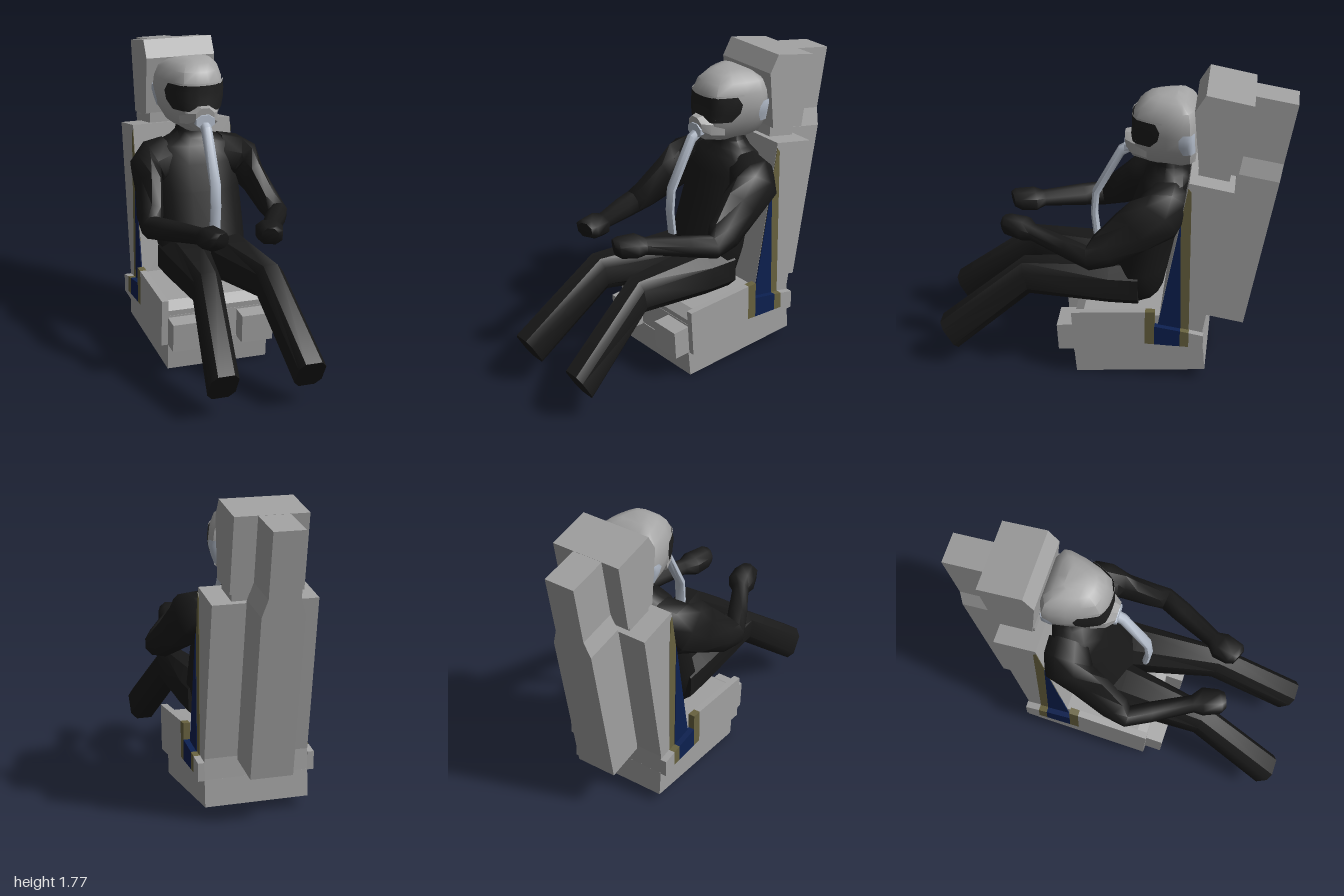
import * as THREE from 'three';
import { toCreasedNormals } from 'three/addons/utils/BufferGeometryUtils.js';

const mat = (name, color, side = THREE.FrontSide) => {
  const m = new THREE.MeshStandardMaterial({ color, side });
  m.name = name;
  return m;
};
const lerp = THREE.MathUtils.lerp;

// Skin through rings of points, capped at both ends when closed
function loft(rings, crease = 0.7, closed = true) {
  const n = rings[0].length, pos = rings.flat(2), idx = [];
  const last = (rings.length - 1) * n, cols = closed ? n : n - 1;
  for (let r = 0; r < rings.length - 1; r++)
    for (let i = 0; i < cols; i++) {
      const a = r * n + i, b = r * n + (i + 1) % n;
      idx.push(a, b, b + n, a, b + n, a + n);
    }
  if (closed) {
    for (let i = 1; i < n - 1; i++) idx.push(0, i + 1, i, last, last + i, last + i + 1);
    // signed volume decides which way the faces must turn
    let vol = 0;
    const v = i => new THREE.Vector3().fromArray(pos, i * 3);
    for (let i = 0; i < idx.length; i += 3) vol += v(idx[i]).dot(v(idx[i + 1]).cross(v(idx[i + 2])));
    if (vol < 0) idx.reverse();
  }
  const g = new THREE.BufferGeometry();
  g.setAttribute('position', new THREE.Float32BufferAttribute(pos, 3));
  g.setIndex(idx);
  return toCreasedNormals(g, crease);
}

// Eight- or twelve-sided ring from a centre and two half axes; a lower power is squarer
function ring(c, u, v, n = 8, power = 1) {
  const f = t => Math.sign(t) * Math.abs(t) ** power;
  const k = 1 / f(Math.cos(Math.PI / n));
  return Array.from({ length: n }, (_, i) => {
    const a = (i + 0.5) / n * Math.PI * 2;
    return c.map((p, j) => p + k * (u[j] * f(Math.cos(a)) + v[j] * f(Math.sin(a))));
  });
}

// Side profile given as [z, y], extruded from x0 to x1
function slab(points, x0, x1) {
  const s = new THREE.Shape(points.map(p => new THREE.Vector2(...p)));
  const g = new THREE.ExtrudeGeometry(s, { depth: x1 - x0, bevelEnabled: false });
  return g.rotateY(-Math.PI / 2).translate(x1, 0, 0);
}

// Helmet levels: y, back z, front z, half width
const SHELL = [
  [1.285, -0.4, -0.18, 0.075], [1.32, -0.45, -0.11, 0.125], [1.41, -0.455, -0.09, 0.18],
  [1.5, -0.45, -0.1, 0.205], [1.58, -0.45, -0.1, 0.195], [1.64, -0.435, -0.13, 0.172],
  [1.68, -0.39, -0.18, 0.125], [1.697, -0.34, -0.23, 0.07],
];
// Half of the helmet plan from front to back: share of width, share of depth
const PLAN = [[0, 1], [0.2, 0.995], [0.54, 0.93], [0.76, 0.7], [0.91, 0.45], [1, 0.2], [0.97, 0.08], [0.68, 0], [0, 0]];

// Row of points around the helmet between two plan positions (negative is the right side)
function shellRow(y, p0, p1, n, off = 0) {
  const i = Math.max(1, SHELL.findIndex(l => l[0] >= y));
  const t = (y - SHELL[i - 1][0]) / (SHELL[i][0] - SHELL[i - 1][0]);
  const [, zb, zf, w] = SHELL[i].map((b, j) => lerp(SHELL[i - 1][j], b, t));
  return Array.from({ length: n }, (_, k) => {
    const p = lerp(p0, p1, k / (n - 1)), q = Math.abs(p), a = Math.min(7, Math.floor(q));
    const [px, pz] = PLAN[a].map((e, j) => lerp(e, PLAN[a + 1][j], q - a));
    return [Math.sign(p) * (w + off) * px, y, lerp(zb - off, zf + off, pz)];
  });
}

export function createModel() {
  const root = new THREE.Group();
  root.name = 'seatedPilot';
  const grey = mat('seat grey', 0xa1a1a1);
  const shellGrey = mat('helmet grey', 0xa4a4a4, THREE.DoubleSide);
  const pale = mat('pale blue grey', 0xb4bdcb, THREE.DoubleSide);
  const suit = mat('suit black', 0x191919);
  const visorBlack = mat('visor black', 0x1e1e1e, THREE.DoubleSide);
  const olive = mat('strap olive', 0x68623f);
  const navy = mat('strap blue', 0x0c2050);

  const add = (name, g, m) => {
    const mesh = new THREE.Mesh(g, m);
    mesh.name = name;
    root.add(mesh);
  };
  const L = -0.318, R = 0.282, MID = -0.018;

  // Rear rail column, narrower at the top
  add('railColumn', loft([[0, 0.09], [0.26, 0.09], [0.33, 0.122], [1, 0.122]].map(([t, w]) => {
    const fz = lerp(-0.76, -0.525, t), fy = lerp(1.72, 0.32, t);
    const bz = lerp(-1, -0.755, t), by = lerp(1.68, 0.28, t), c = -0.03;
    return [[c - w, fy, fz], [c + w, fy, fz], [c + w, by, bz], [c - w, by, bz]];
  }), 0.05), grey);

  // Head box, its mount and the backrest
  add('headBox', slab([[-0.504, 1.77], [-0.445, 1.67], [-0.475, 1.335], [-0.692, 1.295], [-0.765, 1.72]], -0.226, 0.19), grey);
  add('headMount', slab([[-0.475, 1.34], [-0.47, 1.25], [-0.64, 1.22], [-0.655, 1.31]], -0.2, 0.165), grey);
  add('backrest', slab([[-0.43, 1.285], [-0.27, 0.36], [-0.525, 0.31], [-0.677, 1.24]], L, R), grey);

  // Seat pan with a hollow skirt beneath
  add('seatPan', slab([[0.215, 0.33], [0.21, 0.15], [-0.535, 0.213], [-0.53, 0.34]], L, R), grey);
  add('cushion', slab([[0.215, 0.36], [0.21, 0.3], [-0.3, 0.34], [-0.3, 0.42], [0.16, 0.405]], L, R), grey);
  const skirt = [[0.215, 0.16], [0.2, 0], [-0.547, 0.065], [-0.535, 0.22]];
  add('skirtSideRight', slab(skirt, L, L + 0.01), grey);
  add('skirtSideLeft', slab(skirt, R - 0.01, R), grey);
  add('skirtFront', slab([[0.215, 0.16], [0.205, 0.16], [0.19, 0.001], [0.2, 0]], L, R), grey);
  add('skirtBack', slab([[-0.535, 0.22], [-0.547, 0.065], [-0.537, 0.064], [-0.525, 0.22]], L, R), grey);
  const frontBox = [[0.21, 0.32], [0.315, 0.31], [0.305, 0.145], [0.205, 0.153]];
  add('frontBoxRight', slab(frontBox, L, -0.155), grey);
  add('frontBoxLeft', slab(frontBox, 0.095, R), grey);

  for (const s of [-1, 1]) {
    const side = s < 0 ? 'Right' : 'Left';
    // Plate beside the seat, between two distances from the seat's middle
    const plate = (name, pts, inner, outer, m) => {
      const a = MID + s * inner, b = MID + s * outer;
      add(name + side, slab(pts, Math.min(a, b), Math.max(a, b)), m);
    };
    // Side panel with its coloured straps let in
    plate('sidePanel', [[0.225, 0.425], [0.208, 0.152], [-0.535, 0.215], [-0.535, 0.32], [-0.452, 0.335],
      [-0.452, 0.24], [-0.2, 0.245], [-0.2, 0.459]], 0.299, 0.338, grey);
    plate('panelStrapFront', [[-0.2, 0.459], [-0.2, 0.245], [-0.255, 0.243], [-0.255, 0.462]], 0.299, 0.338, olive);
    plate('panelWeb', [[-0.255, 0.365], [-0.255, 0.243], [-0.402, 0.241], [-0.402, 0.343]], 0.299, 0.338, navy);
    plate('panelStrapRear', [[-0.402, 0.343], [-0.402, 0.241], [-0.452, 0.24], [-0.452, 0.335]], 0.299, 0.338, olive);
    // Straps painted on the flank of the backrest
    plate('backStrap', [[-0.427, 1.255], [-0.272, 0.36], [-0.45, 0.326], [-0.445, 1.23]], 0.299, 0.303, olive);
    plate('backWeb', [[-0.39, 1.04], [-0.271, 0.355], [-0.403, 0.33]], 0.299, 0.306, navy);

    // Leg from hip over the knee to the cut shin
    add('leg' + side, loft([
      ring([s * 0.13, 0.56, -0.15], [0.13, 0, 0], [0, 0.125, 0], 8, 0.75),
      ring([s * 0.13, 0.56, 0.02], [0.13, 0, 0], [0, 0.125, 0], 8, 0.75),
      ring([s * 0.182, 0.582, 0.497], [0.078, 0, 0], [0, 0.1, 0.02], 8, 0.7),
      ring([s * 0.248, 0.203, 0.95], [0.08, 0, 0], [0, 0.084, 0.05], 8, 0.6),
    ]), suit);

    // Arm bent at the elbow, ending in a fist
    add('arm' + side, loft([
      ring([s * 0.15, 1.11, -0.3], [s * 0.02, 0.115, 0], [0, 0, 0.12]),
      ring([s * 0.235, 1.09, -0.28], [s * 0.05, 0.115, 0], [0, 0, 0.14]),
      ring([s * 0.3, 1.06, -0.235], [s * 0.066, 0.075, -0.02], [s * -0.02, 0.08, 0.13]),
      ring([s * 0.32, 0.985, -0.12], [s * 0.058, 0.03, -0.02], [s * -0.02, 0.1, 0.08]),
      ring([s * 0.36, 0.875, 0.03], [s * 0.06, 0.02, -0.01], [s * -0.02, 0.075, 0.06]),
      ring([s * 0.378, 0.835, 0.115], [s * 0.057, 0, 0.005], [0, 0.066, 0.01]),
      ring([s * 0.32, 0.85, 0.23], [s * 0.05, 0, 0.025], [0, 0.06, 0.01]),
      ring([s * 0.205, 0.876, 0.45], [s * 0.042, 0, 0.02], [0, 0.044, 0]),
      ring([s * 0.177, 0.883, 0.5], [s * 0.07, 0, 0.025], [0, 0.06, 0], 8, 0.8),
      ring([s * 0.15, 0.888, 0.59], [s * 0.06, 0, 0.03], [0, 0.056, 0.01], 8, 0.8),
      ring([s * 0.137, 0.895, 0.62], [s * 0.042, 0, 0.018], [0, 0.042, 0.005]),
    ], 1), suit);

    // Earpiece on the helmet side
    add('earpiece' + side, loft([[1.4, 5], [1.45, 4.75], [1.5, 4.75], [1.53, 5]].map(([y, p]) =>
      shellRow(y, s * p, s * 6.7, 6, 0.006)), 1, false), pale);
  }

  // Torso and neck: y, back z, front z, half width
  add('torso', loft([
    [0.43, -0.25, 0.04, 0.16], [0.5, -0.28, 0.07, 0.22], [0.65, -0.31, 0.02, 0.255], [0.95, -0.37, -0.08, 0.25],
    [1.1, -0.42, -0.13, 0.265], [1.2, -0.425, -0.17, 0.22], [1.235, -0.41, -0.21, 0.13], [1.27, -0.4, -0.225, 0.09],
    [1.36, -0.39, -0.23, 0.085],
  ].map(([y, b, f, w]) => ring([0, y, (b + f) / 2], [w, 0, 0], [0, 0, (f - b) / 2], 12)), 0.9), suit);

  // Helmet, brow rim, visor and breathing mask
  add('helmet', loft(SHELL.map(l => [
    ...shellRow(l[0], -7, 7, 15), ...shellRow(l[0], 8, 8, 2).slice(1),
  ]), 0.7), shellGrey);
  add('visorRim', loft([1.572, 1.583].map(y => shellRow(y, -3.7, 3.7, 15, 0.011)), 1, false), shellGrey);
  add('visor', loft([0, 0.33, 0.67, 1].map(t => {
    const p = 2.85 + 0.75 * Math.sin(Math.PI * (0.08 + 0.72 * t));
    return shellRow(lerp(1.425, 1.575, t), -p, p, 15, 0.009);
  }), 1, false), visorBlack);
  add('mask', loft([
    ring([0, 1.375, -0.18], [0.115, 0, 0], [0, 0.08, 0]),
    ring([0, 1.385, -0.1], [0.09, 0, 0], [0, 0.073, 0]),
    ring([0, 1.4, -0.057], [0.055, 0, 0], [0, 0.05, 0.005]),
  ], 0.4), shellGrey);
  add('maskValve', loft([
    ring([0, 1.38, -0.09], [0.062, 0, 0], [0, 0.045, 0]),
    ring([0, 1.37, -0.05], [0.055, 0, 0], [0, 0.04, 0]),
  ], 0.4), pale);

  // Breathing hose hanging in front of the chest
  add('hose', loft([
    [1.36, -0.09, 0.02, 0.02], [1.325, -0.03, 0.025, 0.015], [1.05, 0.115, 0.012, 0.019],
    [0.92, 0.125, 0, 0.02], [0.78, 0.11, 0, 0.02],
  ].map(([y, z, vy, vz]) => ring([0, y, z], [0.03, 0, 0], [0, vy, vz])), 0.9), pale);

  return root;
}
